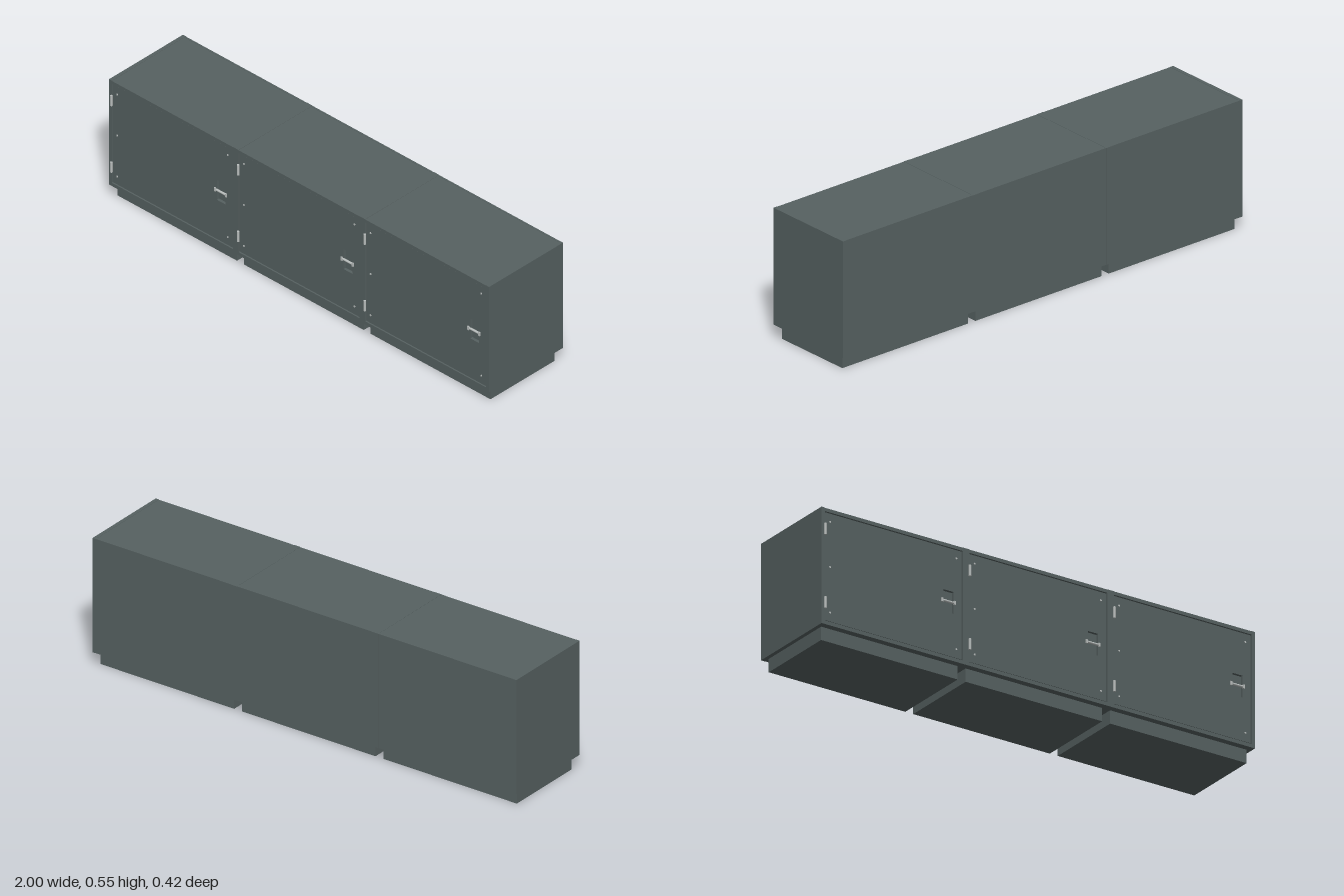
import * as THREE from 'three';

const paint = new THREE.MeshStandardMaterial({ color: 0x566161 });
paint.name = 'grey green paint';
const metal = new THREE.MeshStandardMaterial({ color: 0xb9bebd });
metal.name = 'bright metal';

const PITCH = 2 / 3, T = 0.015;            // cabinet width, panel thickness
const Y0 = 0.056, Y1 = 0.545, ZB = -0.207, ZF = 0.201;

function add(parent, name, geometry, material, x = 0, y = 0, z = 0) {
  const mesh = new THREE.Mesh(geometry, material);
  mesh.name = name;
  mesh.position.set(x, y, z);
  parent.add(mesh);
  return mesh;
}

// Box given by its extents on each axis
function slab(parent, name, material, [x0, x1], [y0, y1], [z0, z1]) {
  return add(parent, name, new THREE.BoxGeometry(x1 - x0, y1 - y0, z1 - z0), material,
    (x0 + x1) / 2, (y0 + y1) / 2, (z0 + z1) / 2);
}

function rectangle(Kind, x0, x1, y0, y1) {
  return new Kind().moveTo(x0, y0).lineTo(x1, y0).lineTo(x1, y1).lineTo(x0, y1).closePath();
}

function createCabinet() {
  const cabinet = new THREE.Group();
  cabinet.name = 'cabinet';
  const h = PITCH / 2, inner = h - T;

  // Plinth
  slab(cabinet, 'plinth', paint, [-0.316, 0.314], [0, Y0], [-0.18, 0.173]);

  // Carcass: full side panels with top, bottom and back set between them
  slab(cabinet, 'rightSide', paint, [-h, -inner], [Y0, Y1], [ZB, ZF]);
  slab(cabinet, 'leftSide', paint, [inner, h], [Y0, Y1], [ZB, ZF]);
  slab(cabinet, 'topPanel', paint, [-inner, inner], [Y1 - T, Y1 - 0.001], [ZB + 0.008, ZF]);
  slab(cabinet, 'bottomPanel', paint, [-inner, inner], [Y0, Y0 + T], [ZB + 0.008, ZF]);
  slab(cabinet, 'backPanel', paint, [-inner, inner], [Y0, Y1], [ZB + 0.001, ZB + 0.008]);

  // Door with a cut-out for the latch
  const door = new THREE.Group();
  door.name = 'door';
  cabinet.add(door);
  const [lx0, lx1, ly0, ly1] = [0.232, 0.278, 0.256, 0.348];
  const outline = rectangle(THREE.Shape, -inner + 0.003, inner - 0.003, Y0 + T + 0.003, Y1 - T - 0.003);
  outline.holes.push(rectangle(THREE.Path, lx0, lx1, ly0, ly1));
  const doorFront = ZF - 0.003;
  add(door, 'doorPanel', new THREE.ExtrudeGeometry(outline, { depth: 0.014, bevelEnabled: false }),
    paint, 0, 0, doorFront - 0.014);
  slab(door, 'innerDoorSheet', paint, [-inner, inner], [Y0 + T, Y1 - T], [doorFront - 0.018, doorFront - 0.012]);

  // Latch bar across the recess
  const bar = add(door, 'latchBar', new THREE.CylinderGeometry(0.005, 0.005, 0.05, 12), metal, 0.253, 0.302, 0.198);
  bar.rotation.z = Math.PI / 2;
  for (const x of [0.224, 0.282]) {
    slab(door, 'latchMount', metal, [x - 0.004, x + 0.004], [0.294, 0.31], [0.196, 0.203]);
  }

  // Screws: three on the hinge side, two on the latch side
  const screw = new THREE.CylinderGeometry(0.004, 0.004, 0.002, 10).rotateX(Math.PI / 2);
  for (const [x, y] of [[-0.292, 0.492], [-0.292, 0.302], [-0.292, 0.111], [0.29, 0.492], [0.29, 0.111]]) {
    add(door, 'screw', screw, metal, x, y, doorFront + 0.001);
  }

  // Hinge barrels
  for (const y of [0.146, 0.455]) {
    add(cabinet, 'hinge', new THREE.CylinderGeometry(0.005, 0.005, 0.047, 14), metal, -inner + 0.001, y, 0.204);
  }
  return cabinet;
}

export function createModel() {
  const model = new THREE.Group();
  model.name = 'cabinetRow';
  for (const i of [-1, 0, 1]) {
    const cabinet = createCabinet();
    cabinet.position.x = i * PITCH;
    model.add(cabinet);
  }
  return model;
}
